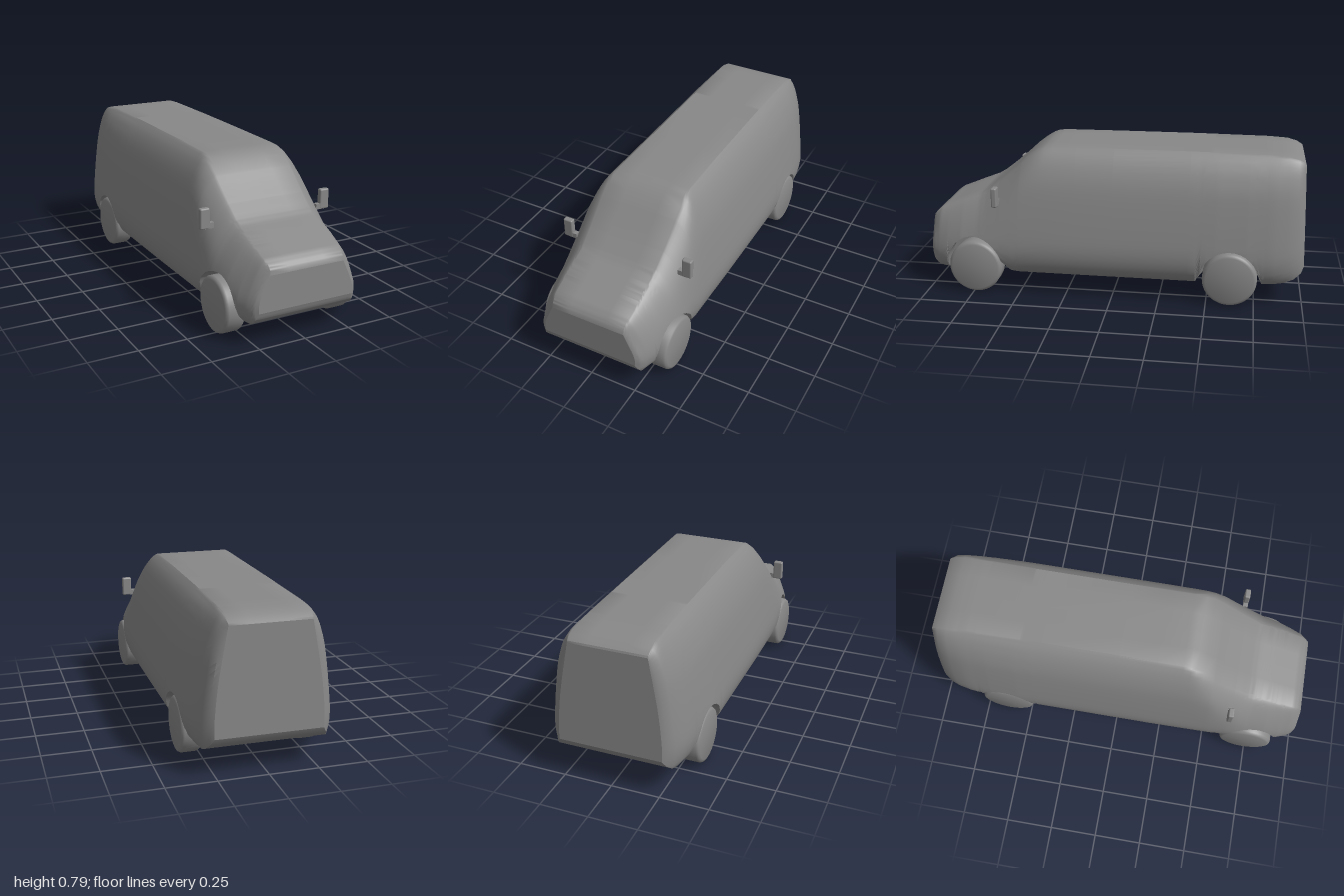
import * as THREE from 'three';
import { toCreasedNormals } from 'three/addons/utils/BufferGeometryUtils.js';
import { RoundedBoxGeometry } from 'three/addons/geometries/RoundedBoxGeometry.js';

const material = new THREE.MeshStandardMaterial({ color: 0x888888 });
const WHEEL_R = 0.142, AXLES = [0.737, -0.62];

// Linear lookup in a list of [key, value] pairs with falling keys
function lookup(table, k) {
  if (k >= table[0][0]) return table[0][1];
  for (let i = 1; i < table.length; i++) {
    const [k0, v0] = table[i - 1], [k1, v1] = table[i];
    if (k >= k1) return v0 + (v1 - v0) * (k0 - k) / (k0 - k1);
  }
  return table[table.length - 1][1];
}

// Arch over a wheel, as [z, y] pairs from front to rear
function arch(zc, radius, top) {
  const pts = [];
  for (let i = 0; i <= 14; i++) {
    const a = THREE.MathUtils.degToRad(12 + i * 156 / 14);
    pts.push([zc + radius * Math.cos(a), 0.145 + (top - 0.145) * Math.sin(a)]);
  }
  return pts;
}

// Underside line with the given arches: [z, y]
const underside = (frontArch, rearArch) => [
  [1, 0.18], [0.99, 0.15], [0.97, 0.125], [0.94, 0.108], [0.905, 0.102], ...frontArch,
  [0.525, 0.09], [0, 0.087], [-0.44, 0.09], ...rearArch,
  [-0.787, 0.105], [-0.85, 0.112], [-0.9, 0.124], [-0.95, 0.145], [-0.985, 0.175], [-1, 0.205]];

// Lower edge of the sides, and the lower floor between the wheels
const SILL = underside(arch(0.743, 0.152, 0.308), arch(-0.615, 0.152, 0.3));
const FLOOR = underside(arch(AXLES[0], 0.125, 0.27), arch(AXLES[1], 0.125, 0.27));
// Roof and bonnet line: [z, y]
const TOP = [[1, 0.36], [0.995, 0.38], [0.98, 0.4], [0.95, 0.422], [0.9, 0.442], [0.82, 0.475], [0.73, 0.51],
  [0.69, 0.535], [0.62, 0.59], [0.55, 0.65], [0.49, 0.705], [0.44, 0.743], [0.4, 0.767], [0.37, 0.778], [0.33, 0.782],
  [0, 0.784], [-0.4, 0.785], [-0.8, 0.782], [-0.9, 0.776], [-0.95, 0.762], [-0.985, 0.742], [-1, 0.732]];
// How far the sides reach out along the length: [z, factor]
const PLAN = [[1, 0.36], [0.985, 0.5], [0.96, 0.62], [0.9, 0.76], [0.82, 0.87], [0.7, 0.94], [0.5, 0.98], [0.2, 1],
  [-0.55, 1], [-0.7, 0.96], [-0.83, 0.89], [-0.9, 0.8], [-0.95, 0.68], [-0.985, 0.53], [-1, 0.4]];
// Half width of the side wall by height: [y, x]
const SIDE = [[0.785, 0.2], [0.75, 0.237], [0.7, 0.27], [0.65, 0.292], [0.6, 0.31], [0.55, 0.322], [0.48, 0.336],
  [0.4, 0.351], [0.3, 0.368], [0.25, 0.373], [0.2, 0.367], [0.15, 0.348], [0.12, 0.321], [0.1, 0.285], [0.085, 0.25]];

// Closed ring of one cross-section: top, left side, underside, right side
function section(z) {
  const t = lookup(TOP, z), b = lookup(SILL, z), f = Math.min(b, lookup(FLOOR, z));
  const p = lookup(PLAN, z), n = 24;
  // Shoulders are rounded along the body and straight at nose and tail
  const soft = Math.min(1, (1 - Math.abs(z)) / 0.04);
  const drop = THREE.MathUtils.lerp(z > 0 ? 0.16 : 0.45, 0.3, soft);
  const power = THREE.MathUtils.lerp(1, 0.65, soft);
  const half = [[0.1, t]];
  for (let i = 0; i <= n; i++) {
    const y = t - (t - b) * (1 - Math.cos(Math.PI * i / n)) / 2;
    const shoulder = 0.21 * Math.min((t - y) / drop, 1) ** power + 1e-6;
    const wall = Math.max(lookup(SIDE, y) - 0.2, 1e-6);
    // Smooth minimum of the two
    half.push([0.2 + p * (wall ** -8 + shoulder ** -8) ** (-1 / 8), y]);
  }
  half.push([0.245, b], [0.245, f], [0.1, f]);
  const ring = [[0, t], ...half, [0, f], ...half.reverse().map(([x, y]) => [-x, y])];
  // The rear door leans slightly forward
  const lean = z < -0.98 ? 0.015 * (z + 0.98) / -0.02 : 0;
  return ring.map(([x, y]) => [x, y, z + lean * (y - b) / (t - b)]);
}

function meshGeometry(positions, index) {
  const g = new THREE.BufferGeometry();
  g.setAttribute('position', new THREE.Float32BufferAttribute(positions, 3));
  g.setIndex(index);
  return g;
}

// Body skin lofted through the sections
function skinGeometry(rings) {
  const n = rings[0].length, index = [];
  for (let i = 0; i < rings.length - 1; i++) {
    for (let j = 0; j < n; j++) {
      const a = i * n + j, b = i * n + (j + 1) % n, c = a + n, d = b + n;
      index.push(a, b, c, b, d, c);
    }
  }
  return toCreasedNormals(meshGeometry(rings.flat(2), index), 0.6);
}

// Flat panel closing one end ring
function panelGeometry(ring, facesFront) {
  const outline = ring.map(([x, y]) => new THREE.Vector2(x, y));
  const index = [];
  for (const [a, b, c] of THREE.ShapeUtils.triangulateShape(outline, [])) {
    const ccw = outline[b].clone().sub(outline[a]).cross(outline[c].clone().sub(outline[a])) > 0;
    index.push(...(ccw === facesFront ? [a, b, c] : [a, c, b]));
  }
  const g = meshGeometry(ring.flat(), index);
  g.computeVertexNormals();
  return g;
}

// Solid wheel with rounded shoulders, turned about the x axis
function wheelGeometry() {
  const w = 0.053, r = WHEEL_R;
  const profile = [[0, -w], [r - 0.018, -w], [r - 0.006, -w + 0.005], [r, -w + 0.016],
    [r, w - 0.016], [r - 0.006, w - 0.005], [r - 0.018, w], [0, w]];
  const g = new THREE.LatheGeometry(profile.map(([x, y]) => new THREE.Vector2(x, y)), 48);
  g.rotateZ(Math.PI / 2);
  return toCreasedNormals(g, 0.7);
}

export function createModel() {
  const model = new THREE.Group();
  model.name = 'van';
  const add = (name, geometry, x, y, z, parent = model) => {
    const mesh = new THREE.Mesh(geometry, material);
    mesh.name = name;
    mesh.position.set(x, y, z);
    parent.add(mesh);
  };

  const keys = [...TOP, ...SILL, ...FLOOR, ...PLAN].map(([z]) => z).sort((a, b) => b - a);
  const rings = keys.filter((z, i) => i === 0 || keys[i - 1] - z > 0.0005).map(section);
  add('body', skinGeometry(rings), 0, 0, 0);
  add('nosePanel', panelGeometry(rings[0], true), 0, 0, 0);
  add('rearDoor', panelGeometry(rings[rings.length - 1], false), 0, 0, 0);

  const wheel = wheelGeometry();
  const mirrorHead = new RoundedBoxGeometry(0.052, 0.105, 0.03, 2, 0.008);
  const mirrorArm = new THREE.BoxGeometry(0.05, 0.028, 0.026);
  const leafSpring = new THREE.BoxGeometry(0.03, 0.02, 0.25);
  for (const [side, s] of [['left', 1], ['right', -1]]) {
    add(side + 'FrontWheel', wheel, s * 0.305, WHEEL_R, AXLES[0]);
    add(side + 'RearWheel', wheel, s * 0.305, WHEEL_R, AXLES[1]);
    add(side + 'LeafSpring', leafSpring, s * 0.2, 0.165, AXLES[1]);
    // Door mirror on a short arm
    const mirror = new THREE.Group();
    mirror.name = side + 'Mirror';
    model.add(mirror);
    add('mirrorHead', mirrorHead, s * 0.34, 0.537, 0.615, mirror);
    add('mirrorArm', mirrorArm, s * 0.317, 0.5, 0.615, mirror);
  }
  return model;
}
